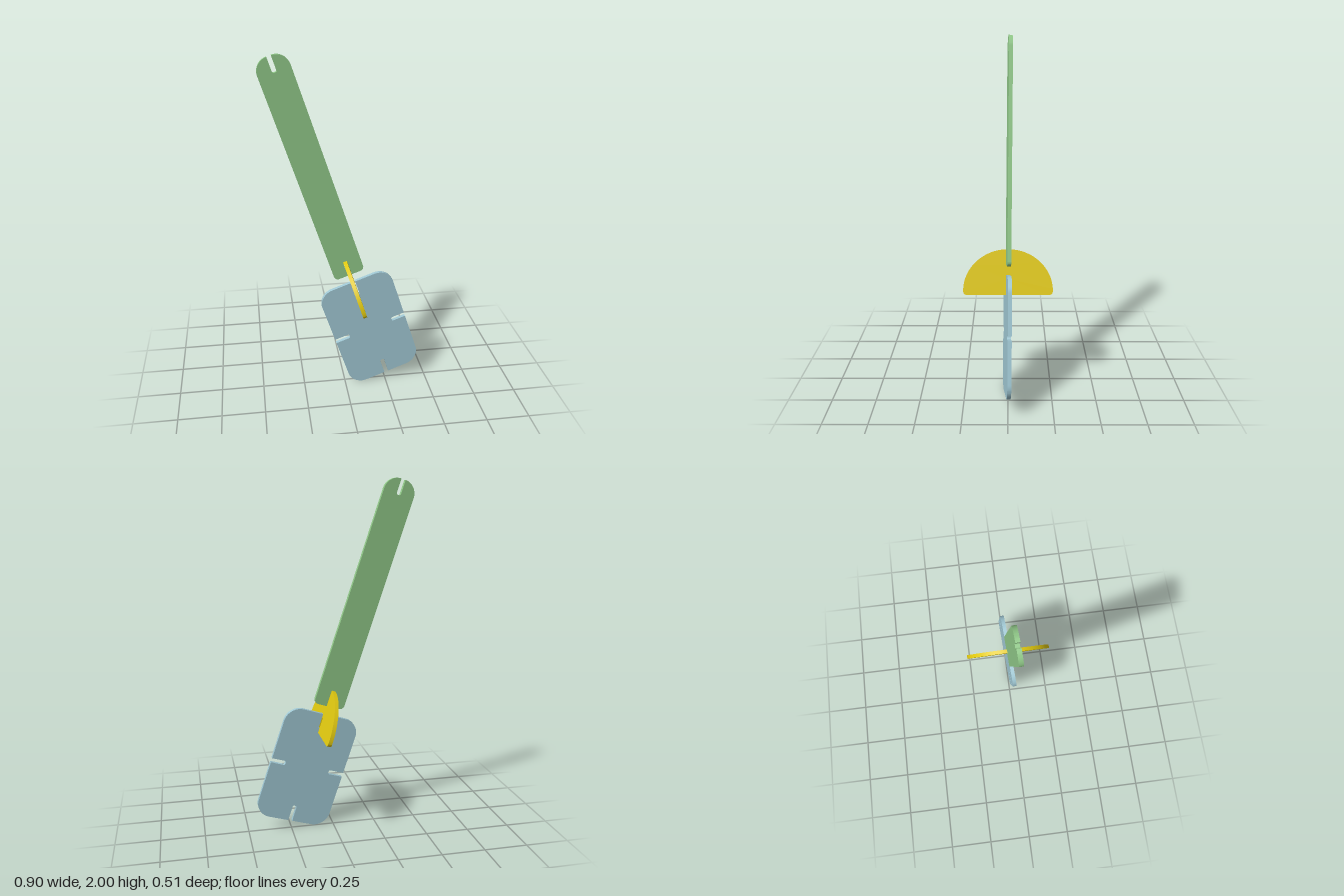
import * as THREE from 'three';
import { toCreasedNormals } from 'three/addons/utils/BufferGeometryUtils.js';

const THICK = 0.022;
const SLOT = 0.0125; // half width of every slot

// Closed outline from [x, y, cornerRadius] points with square corners rounded
function roundedOutline(points) {
  const shape = new THREE.Shape();
  const n = points.length;
  const toward = (p, q, d) => {
    const len = Math.hypot(q[0] - p[0], q[1] - p[1]);
    return [p[0] + (q[0] - p[0]) * d / len, p[1] + (q[1] - p[1]) * d / len];
  };
  points.forEach((p, i) => {
    const r = p[2] || 0, k = r * 0.4477;
    const prev = points[(i + n - 1) % n], next = points[(i + 1) % n];
    const a = toward(p, prev, r), b = toward(p, next, r);
    if (i === 0) shape.moveTo(...a); else shape.lineTo(...a);
    if (r) shape.bezierCurveTo(...toward(p, prev, k), ...toward(p, next, k), ...b);
  });
  shape.closePath();
  return shape;
}

// Sheet of even thickness, centred on its own plane
function sheet(name, shape, color) {
  const geo = new THREE.ExtrudeGeometry(shape, { depth: THICK, bevelEnabled: false, curveSegments: 16 });
  geo.translate(0, 0, -THICK / 2);
  const mesh = new THREE.Mesh(toCreasedNormals(geo, 0.6), new THREE.MeshStandardMaterial({ color }));
  mesh.name = name;
  return mesh;
}

export function createModel() {
  const model = new THREE.Group();
  model.name = 'slottedPlates';
  const tilted = new THREE.Group();
  tilted.name = 'tiltedAssembly';
  tilted.position.set(0.04, 0.70, 0);
  tilted.rotation.z = 0.318;
  model.add(tilted);

  // Long strip: round slotted tip, slot at the foot for the connector
  const strip = sheet('longStrip', roundedOutline([
    [-0.09, 0.038, 0.025],
    [-SLOT, 0.038], [-SLOT, 0.128, 0.008], [SLOT, 0.128, 0.008], [SLOT, 0.038],
    [0.09, 0.038, 0.025],
    [0.09, 1.362, 0.0774],
    [SLOT, 1.362], [SLOT, 1.275, 0.008], [-SLOT, 1.275, 0.008], [-SLOT, 1.362],
    [-0.09, 1.362, 0.0774],
  ]), 0x90c888);
  strip.position.z = -0.002;
  strip.rotation.set(-0.0075, 0.057, 0);
  tilted.add(strip);

  // Wide plate: one slot in each side
  const w = 0.222, top = -0.013, bottom = -0.685, mid = -0.346;
  const plate = sheet('widePlate', roundedOutline([
    [-w, bottom, 0.09],
    [-SLOT, bottom], [-SLOT, bottom + 0.095, 0.008], [SLOT, bottom + 0.095, 0.008], [SLOT, bottom],
    [w, bottom, 0.09],
    [w, mid - SLOT], [w - 0.085, mid - SLOT, 0.008], [w - 0.085, mid + SLOT, 0.008], [w, mid + SLOT],
    [w, top, 0.09],
    [SLOT, top], [SLOT, top - 0.09, 0.008], [-SLOT, top - 0.09, 0.008], [-SLOT, top],
    [-w, top, 0.09],
    [-w, mid + SLOT], [-w + 0.09, mid + SLOT, 0.008], [-w + 0.09, mid - SLOT, 0.008], [-w, mid - SLOT],
  ]), 0xa0c8d4);
  plate.position.set(0.004, 0, 0.001);
  plate.rotation.set(-0.0075, 0.062, 0);
  tilted.add(plate);

  // Half disc connector standing across both sheets, slotted above and below
  const rx = 0.255, ry = 0.235, cy = -0.102, base = -0.127, r = 0.025;
  const disc = new THREE.Shape();
  const gap = Math.acos(SLOT / rx);
  disc.moveTo(SLOT, base);
  disc.lineTo(rx - r, base);
  disc.quadraticCurveTo(rx, base, rx, cy);
  disc.absellipse(0, cy, rx, ry, 0, gap, false, 0);
  disc.lineTo(SLOT, 0.043);
  disc.lineTo(-SLOT, 0.043);
  disc.absellipse(0, cy, rx, ry, Math.PI - gap, Math.PI, false, 0);
  disc.quadraticCurveTo(-rx, base, -rx + r, base);
  disc.lineTo(-SLOT, base);
  disc.lineTo(-SLOT, -0.037);
  disc.lineTo(SLOT, -0.037);
  disc.closePath();
  const connector = sheet('halfDiscConnector', disc, 0xe0c810);
  connector.rotation.y = -Math.PI / 2 + 0.012;
  tilted.add(connector);

  return model;
}
